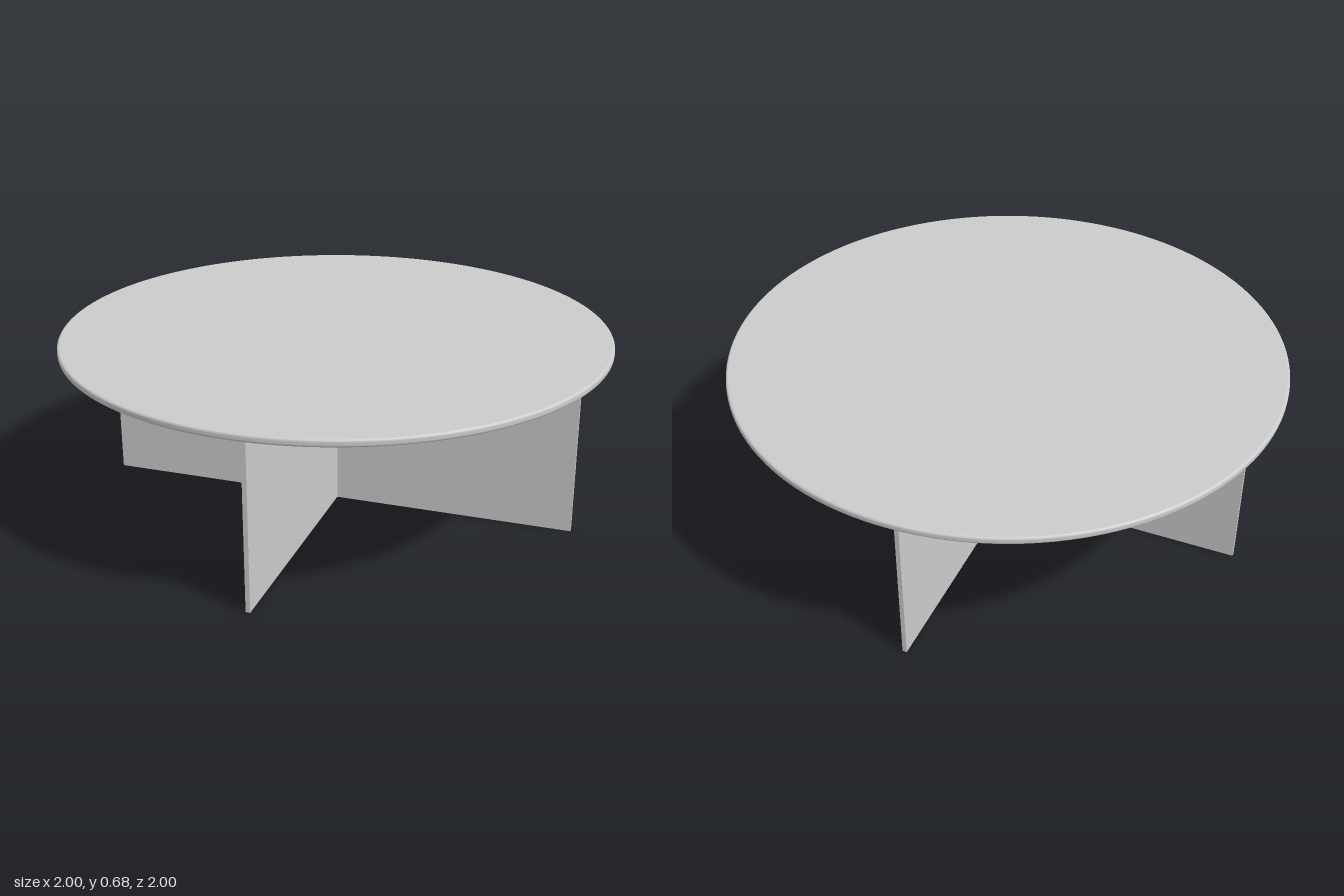
import * as THREE from 'three';

const TOP_Y = 0.675, TOP_T = 0.027, RADIUS = 1, FILLET = 0.009;
const PANEL_W = 1.804, PANEL_T = 0.016;

// Quarter-round points for the rim, from angle a0 to a1
function arc(cx, cy, a0, a1, n = 5) {
  return Array.from({ length: n + 1 }, (_, i) => {
    const a = a0 + (a1 - a0) * i / n;
    return new THREE.Vector2(cx + FILLET * Math.cos(a), cy + FILLET * Math.sin(a));
  });
}

export function createModel() {
  const group = new THREE.Group();
  const material = new THREE.MeshStandardMaterial({ color: 0xcccccc });
  const under = TOP_Y - TOP_T;

  // Round top with softened rim; extra points keep the flat faces flat
  const inner = RADIUS - FILLET;
  const profile = [
    new THREE.Vector2(0, under),
    new THREE.Vector2(inner - 0.002, under),
    ...arc(inner, under + FILLET, -Math.PI / 2, 0),
    ...arc(inner, TOP_Y - FILLET, 0, Math.PI / 2),
    new THREE.Vector2(inner - 0.002, TOP_Y),
    new THREE.Vector2(0, TOP_Y),
  ];
  const top = new THREE.Mesh(new THREE.LatheGeometry(profile, 128), material);
  top.name = 'tableTop';
  group.add(top);

  // Two upright panels crossing at the centre
  ['legPanelAcross', 'legPanelDeep'].forEach((name, i) => {
    const panel = new THREE.Mesh(new THREE.BoxGeometry(PANEL_W, under, PANEL_T), material);
    panel.name = name;
    panel.position.y = under / 2;
    panel.rotation.y = i * Math.PI / 2;
    group.add(panel);
  });

  return group;
}
